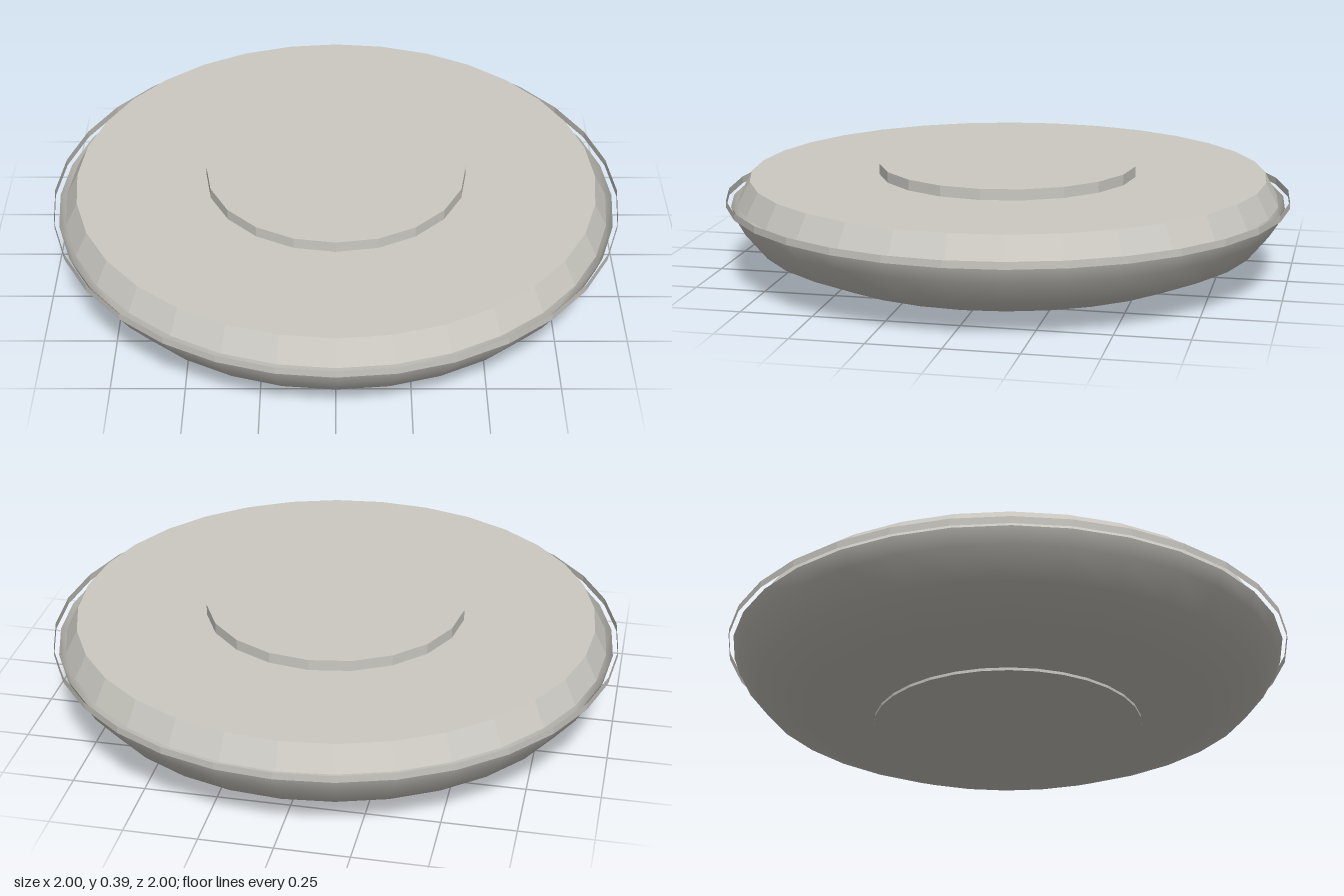
import * as THREE from 'three';

const paleGrey = new THREE.MeshStandardMaterial({ color: 0xcbc9c2, side: THREE.DoubleSide });
paleGrey.name = 'paleGrey';

// Faceted round part between two heights
function round(name, rTop, rBottom, yBottom, yTop, sides, open) {
  const smooth = new THREE.CylinderGeometry(rTop, rBottom, yTop - yBottom, sides, 1, open);
  const geometry = smooth.toNonIndexed();
  geometry.computeVertexNormals();
  const mesh = new THREE.Mesh(geometry, paleGrey);
  mesh.name = name;
  mesh.position.y = (yBottom + yTop) / 2;
  return mesh;
}

export function createModel() {
  const group = new THREE.Group();
  group.name = 'saucer';

  // Smooth shallow bowl, open at the top
  const profile = [
    [0, 0.01], [0.463, 0.012], [0.725, 0.045], [0.888, 0.115], [0.962, 0.205], [0.983, 0.262],
  ].map(([r, y]) => new THREE.Vector2(r, y));
  const bowl = new THREE.Mesh(new THREE.LatheGeometry(profile, 32), paleGrey);
  bowl.name = 'bowl';
  group.add(bowl);

  // Flat foot under the bowl
  group.add(round('foot', 0.474, 0.474, 0, 0.01, 32, false));

  // Thin upright band, standing just clear of the bowl
  group.add(round('rimBand', 1, 1, 0.26, 0.285, 32, true));

  // Bevelled lid and the raised disc on it
  group.add(round('lid', 0.916, 0.96, 0.265, 0.35, 32, false));
  group.add(round('raisedDisc', 0.458, 0.458, 0.35, 0.388, 20, false));

  return group;
}
